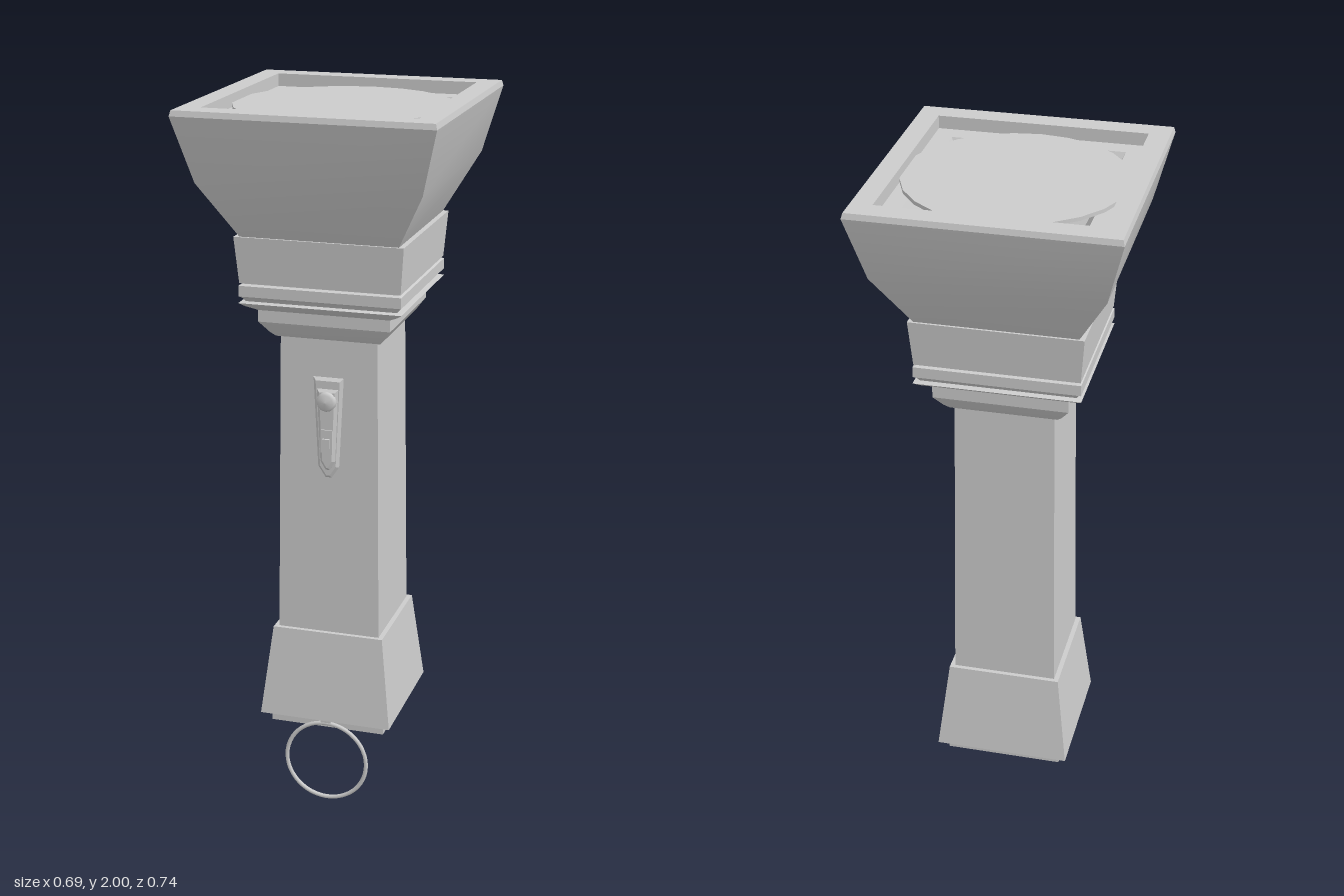
import * as THREE from 'three';
import { toCreasedNormals } from 'three/addons/utils/BufferGeometryUtils.js';

const material = new THREE.MeshStandardMaterial({ color: 0xcccccc });

function add(parent, name, geometry, x = 0, y = 0, z = 0) {
  const mesh = new THREE.Mesh(geometry, material);
  mesh.name = name;
  mesh.position.set(x, y, z);
  parent.add(mesh);
  return mesh;
}

// Rectangular loft: profile rows are [y, half width, half depth], outside going up.
function rectLoft(profile, crease = 0.45) {
  const corners = [[1, 1], [1, -1], [-1, -1], [-1, 1]];
  const positions = [];
  const point = ([y, hx, hz], i) => [corners[i % 4][0] * hx, y, corners[i % 4][1] * hz];
  for (let r = 0; r < profile.length - 1; r++) {
    const low = profile[r], high = profile[r + 1];
    for (let i = 0; i < 4; i++) {
      const a = point(low, i), b = point(low, i + 1), c = point(high, i + 1), d = point(high, i);
      if (low[1] > 0) positions.push(...a, ...b, ...c);
      if (high[1] > 0) positions.push(...a, ...c, ...d);
    }
  }
  const geometry = new THREE.BufferGeometry();
  geometry.setAttribute('position', new THREE.Float32BufferAttribute(positions, 3));
  return toCreasedNormals(geometry, crease);
}

// Tapered plate with a pointed lower end, bevelled towards the front.
function pointedPlate(topHalf, bottomHalf, top, bottom, tip, depth, bevel) {
  const shape = new THREE.Shape();
  shape.moveTo(-topHalf, top);
  shape.lineTo(-bottomHalf, bottom);
  shape.lineTo(-bottomHalf * 0.3, tip);
  shape.lineTo(bottomHalf * 0.3, tip);
  shape.lineTo(bottomHalf, bottom);
  shape.lineTo(topHalf, top);
  return new THREE.ExtrudeGeometry(shape, {
    depth, bevelEnabled: true, bevelThickness: bevel, bevelSize: bevel, bevelOffset: -bevel, bevelSegments: 1,
  });
}

export function createModel() {
  const model = new THREE.Group();
  model.name = 'flashlight';

  // Tail plate and flared foot of the handle
  add(model, 'tailPlate', rectLoft([
    [0.228, 0, 0], [0.228, 0.165, 0.165], [0.27, 0.165, 0.165],
  ]));
  add(model, 'handleFoot', rectLoft([
    [0.26, 0, 0], [0.26, 0.19, 0.193], [0.52, 0.159, 0.162], [0.52, 0.14, 0.14],
  ]));

  // Tapered handle
  add(model, 'handle', rectLoft([
    [0.5, 0.146, 0.15], [1.38, 0.135, 0.14],
  ]));

  // Stepped neck moulding and collar
  add(model, 'neckMoulding', rectLoft([
    [1.372, 0, 0], [1.372, 0.145, 0.15], [1.385, 0.158, 0.163], [1.418, 0.182, 0.187],
    [1.45, 0.182, 0.187], [1.456, 0.192, 0.197], [1.465, 0.208, 0.213], [1.476, 0.223, 0.228],
    [1.48, 0.2, 0.205],
  ]));
  add(model, 'collarBand', rectLoft([
    [1.476, 0.205, 0.21], [1.49, 0.215, 0.22], [1.494, 0.222, 0.227],
    [1.523, 0.222, 0.227], [1.527, 0.212, 0.217], [1.532, 0.212, 0.217],
  ]));
  add(model, 'collar', rectLoft([
    [1.53, 0.2, 0.2], [1.53, 0.22, 0.225], [1.656, 0.23, 0.236], [1.656, 0.2, 0.2],
  ]));

  // Flared head with an open rim, a ledge and a sloping reflector inside
  add(model, 'head', rectLoft([
    [1.65, 0.2, 0.21], [1.655, 0.215, 0.229], [1.81, 0.3, 0.323], [1.985, 0.346, 0.371],
    [2, 0.342, 0.367], [2, 0.285, 0.305], [1.965, 0.285, 0.305], [1.965, 0.235, 0.251],
    [1.75, 0.13, 0.14], [1.75, 0, 0],
  ]));

  // Round lens, trimmed at the sides to the width of the opening
  const lens = new THREE.CylinderGeometry(0.295, 0.295, 0.01, 24).toNonIndexed();
  const p = lens.attributes.position;
  for (let i = 0; i < p.count; i++) p.setX(i, THREE.MathUtils.clamp(p.getX(i), -0.285, 0.285));
  add(model, 'lens', lens, 0, 1.972, 0);

  // Switch plate with a round button and a slider
  const panel = new THREE.Group();
  panel.name = 'switchPanel';
  panel.position.z = 0.138;
  add(panel, 'switchPlate', pointedPlate(0.042, 0.03, 1.265, 1.012, 0.98, 0.006, 0.008));
  add(panel, 'raisedPlate', pointedPlate(0.03, 0.021, 1.235, 1.03, 1.005, 0.015, 0.008));
  const button = add(panel, 'button', new THREE.LatheGeometry([
    [0.027, 0], [0.027, 0.012], [0.021, 0.019], [0, 0.022],
  ].map(([x, y]) => new THREE.Vector2(x, y)), 12), 0, 1.203, 0.018);
  button.rotation.x = Math.PI / 2;
  add(panel, 'sliderTrack', new THREE.BoxGeometry(0.032, 0.065, 0.01), 0, 1.09, 0.022);
  add(panel, 'slider', new THREE.BoxGeometry(0.022, 0.026, 0.014), 0, 1.085, 0.027);
  model.add(panel);

  // Hanging ring and the small lug that holds it
  add(model, 'hangingRing', new THREE.TorusGeometry(0.118, 0.006, 8, 48), 0, 0.126, 0.174);
  add(model, 'ringLug', new THREE.BoxGeometry(0.03, 0.016, 0.018), 0, 0.256, 0.172);

  return model;
}
